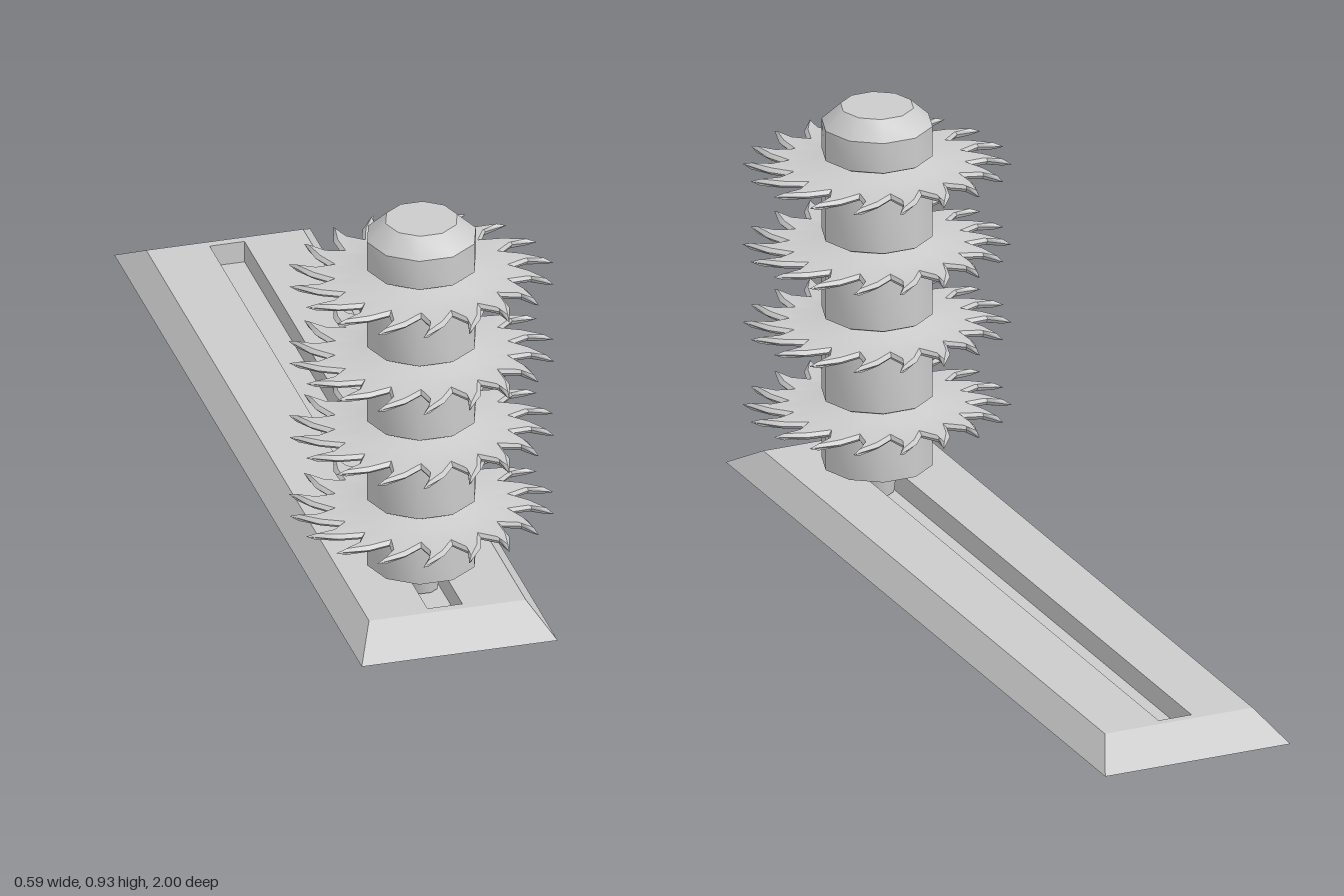
import * as THREE from 'three';
import { toCreasedNormals } from 'three/addons/utils/BufferGeometryUtils.js';

const TEETH = 18;
const DISC_HEIGHTS = [0.215, 0.412, 0.598, 0.79];

// Skin a list of closed rings (arrays of [x, y, z]) with equal point counts.
function skin(rings, capLast = false) {
  const n = rings[0].length, index = [];
  for (let j = 0; j < rings.length - 1; j++) {
    for (let i = 0; i < n; i++) {
      const a = j * n + i, b = j * n + (i + 1) % n;
      index.push(a, b, a + n, b, b + n, a + n);
    }
  }
  if (capLast) {
    const s = (rings.length - 1) * n;
    for (let i = 1; i < n - 1; i++) index.push(s, s + i, s + i + 1);
  }
  const g = new THREE.BufferGeometry();
  g.setAttribute('position', new THREE.Float32BufferAttribute(rings.flat(2), 3));
  g.setIndex(index);
  return g;
}

function mesh(name, geometry, material) {
  const m = new THREE.Mesh(geometry, material);
  m.name = name;
  return m;
}

// Open-bottomed track: sloped rim, flat top and a sunken slot.
function trackGeometry() {
  const rect = (x, y, z) => [[-x, y, -z], [x, y, -z], [x, y, z], [-x, y, z]];
  const g = skin([
    rect(0.225, 0, 1), rect(0.18, 0.057, 0.9),
    rect(0.04, 0.057, 0.88), rect(0.04, 0.006, 0.88),
  ], true);
  return toCreasedNormals(g, 0.2);
}

// Swirled saw disc: each tooth is root, back, tip, front, given as [degrees, radius].
function sawGeometry() {
  const outline = [[0, 0.205], [8, 0.247], [19, 0.297], [15, 0.245]];
  const inset = [[0, 0.193], [8.7, 0.237], [16.5, 0.278], [14.2, 0.242]];
  const circle = (r) => [0, 4, 6, 9].map((a) => [a, r]);
  const ring = (tooth, y) => {
    const points = [];
    for (let k = 0; k < TEETH; k++) {
      for (const [a, r] of tooth) {
        const t = THREE.MathUtils.degToRad(6 + a + k * 360 / TEETH);
        points.push([r * Math.cos(t), y, r * Math.sin(t)]);
      }
    }
    return points;
  };
  const g = skin([
    ring(circle(0.1), 0.024), ring(circle(0.118), 0.021), ring(circle(0.152), 0.009),
    ring(inset, 0.008), ring(outline, 0), ring(inset, -0.008),
    ring(circle(0.152), -0.009), ring(circle(0.118), -0.021), ring(circle(0.1), -0.024),
  ]);
  return toCreasedNormals(g, 0.5);
}

// Ten-sided post with a necked groove at every disc.
function postGeometry() {
  const profile = [[0, 0.01], [0.038, 0.01], [0.045, 0.064], [0.125, 0.08]];
  for (const y of DISC_HEIGHTS) {
    profile.push([0.125, y - 0.024 - 0.009], [0.118, y - 0.026], [0.108, y - 0.025],
      [0.108, y + 0.025], [0.118, y + 0.025], [0.125, y + 0.029]);
  }
  profile.push([0.125, 0.89], [0.082, 0.93], [0, 0.93]);
  const points = profile.map(([r, y]) => new THREE.Vector2(r, y));
  return toCreasedNormals(new THREE.LatheGeometry(points, 10, Math.PI / 2), 0.7);
}

export function createModel() {
  const material = new THREE.MeshStandardMaterial({ color: 0xcccccc, side: THREE.DoubleSide });
  const model = new THREE.Group();
  model.name = 'bladeTrap';
  model.add(mesh('track', trackGeometry(), material));

  const rotor = new THREE.Group();
  rotor.name = 'rotor';
  rotor.position.z = 0.69;
  rotor.add(mesh('post', postGeometry(), material));
  const saw = sawGeometry();
  DISC_HEIGHTS.forEach((y, i) => {
    const disc = mesh('sawDisc' + (i + 1), saw, material);
    disc.position.y = y;
    rotor.add(disc);
  });
  model.add(rotor);
  return model;
}
